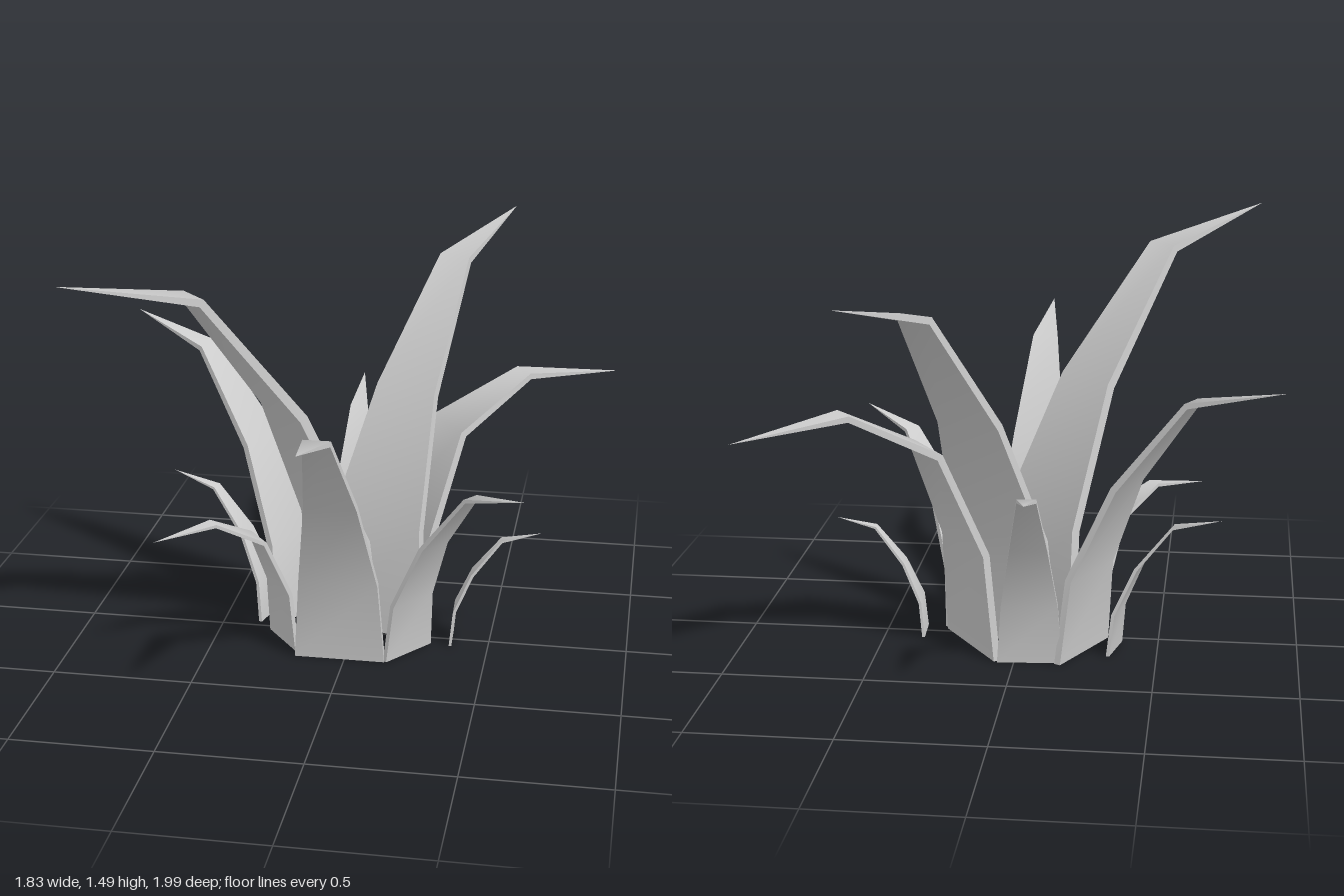
import * as THREE from 'three';

// Blade profiles at scale 1: [outward, height, half width, half thickness]
const ARCHING = [
  [0, 0, 0.163, 0.012], [0.03, 0.31, 0.142, 0.012], [0.18, 0.655, 0.093, 0.012],
  [0.43, 0.977, 0.047, 0.01], [0.78, 1.06, 0, 0],
];
const DROOPING = [
  [0, 0, 0.185, 0.013], [0.03, 0.39, 0.165, 0.013], [0.18, 0.755, 0.114, 0.013],
  [0.49, 0.915, 0.05, 0.011], [0.9, 0.868, 0, 0],
];

// Thin four-sided blade: smooth along its length, sharp along its edges
function bladeGeometry(profile) {
  const last = profile.length - 1;
  const rings = profile.map(([out, y, w, t], i) => {
    const a = profile[Math.max(i - 1, 0)], b = profile[Math.min(i + 1, last)];
    const dz = b[0] - a[0], dy = b[1] - a[1], len = Math.hypot(dz, dy);
    const ny = i === 0 ? 0 : -dz / len, nz = i === 0 ? 1 : dy / len;
    return [[-1, -1], [1, -1], [1, 1], [-1, 1]].map(([sx, st]) =>
      [sx * w, y + st * t * ny, out + st * t * nz]);
  });
  const positions = [], index = [];
  // Front, back and two narrow sides
  for (let side = 0; side < 4; side++) {
    const start = positions.length / 3;
    rings.forEach((ring) => positions.push(...ring[side], ...ring[(side + 1) % 4]));
    for (let i = 0; i < last; i++) {
      const a = start + i * 2;
      index.push(a, a + 2, a + 1);
      if (i < last - 1) index.push(a + 1, a + 2, a + 3);
    }
  }
  // Base cap
  const cap = positions.length / 3;
  rings[0].forEach((p) => positions.push(...p));
  index.push(cap, cap + 1, cap + 2, cap, cap + 2, cap + 3);

  const geometry = new THREE.BufferGeometry();
  geometry.setAttribute('position', new THREE.Float32BufferAttribute(positions, 3));
  geometry.setIndex(index);
  geometry.computeVertexNormals();
  return geometry;
}

// Root x, z, then tip x, z, then scale
const LEAVES = [
  { name: 'tallLeafFrontRight', profile: ARCHING, at: [-0.035, 0.01, -0.84, 0.77, 1.41] },
  { name: 'tallLeafBackLeft', profile: ARCHING, at: [0.055, -0.05, 0.48, -1, 1.325] },
  { name: 'frontLeaf', profile: ARCHING, at: [-0.018, 0.22, -0.018, 1, 1] },
  { name: 'sideLeafRight', profile: ARCHING, at: [-0.23, -0.14, -0.92, -0.5, 1] },
  { name: 'droopingLeafLeft', profile: DROOPING, at: [0.165, -0.12, 0.91, -0.63, 1] },
  { name: 'lowLeafFrontLeft', profile: ARCHING, at: [0.215, 0.135, 0.64, 0.46, 0.7] },
  { name: 'lowLeafBack', profile: ARCHING, at: [-0.055, -0.27, -0.095, -0.82, 0.705] },
  { name: 'smallDroopingLeafRight', profile: DROOPING, at: [-0.245, 0.105, -0.64, 0.41, 0.56] },
  { name: 'smallLeafRight', profile: ARCHING, at: [-0.345, -0.11, -0.72, -0.2, 0.495] },
  { name: 'smallLeafLeft', profile: ARCHING, at: [0.36, -0.005, 0.68, -0.02, 0.41] },
];

export function createModel() {
  const plant = new THREE.Group();
  plant.name = 'plant';
  const material = new THREE.MeshStandardMaterial({ color: 0xcccccc });
  const shapes = new Map([ARCHING, DROOPING].map((p) => [p, bladeGeometry(p)]));
  for (const { name, profile, at: [x, z, tipX, tipZ, scale] } of LEAVES) {
    const leaf = new THREE.Mesh(shapes.get(profile), material);
    leaf.name = name;
    leaf.position.set(x, 0, z);
    leaf.rotation.y = Math.atan2(tipX - x, tipZ - z);
    leaf.scale.setScalar(scale);
    plant.add(leaf);
  }
  return plant;
}
